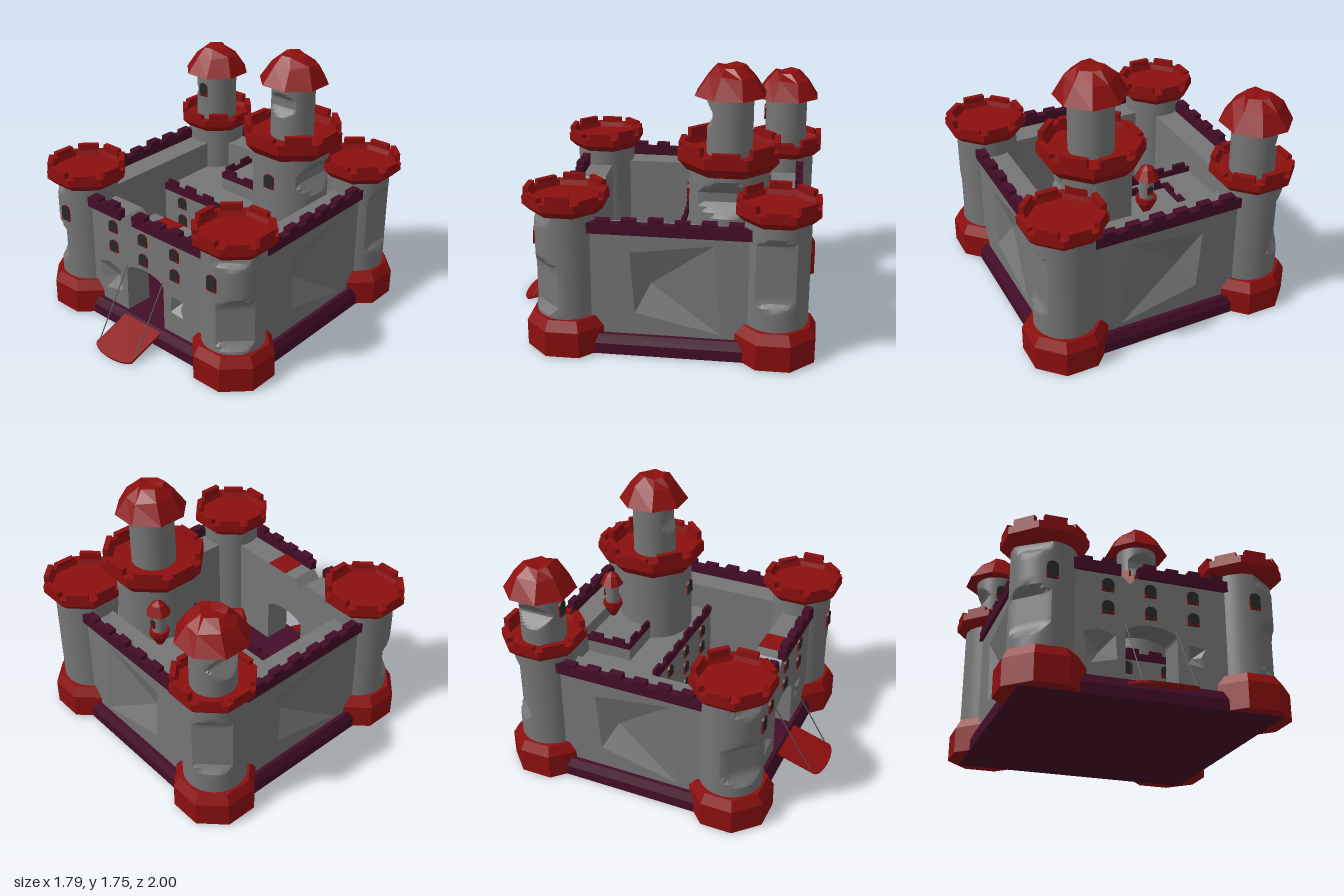
import * as THREE from 'three';
import { toCreasedNormals } from 'three/addons/utils/BufferGeometryUtils.js';

const mat = (name, color) => {
  const m = new THREE.MeshStandardMaterial({ color });
  m.name = name;
  return m;
};

export function createModel() {
  const stone = mat('stone grey', 0x757575);
  const red = mat('deep red', 0x8c0f0f);
  const plum = mat('dark plum', 0x430d27);
  const dark = mat('window dark', 0x262828);
  const iron = mat('chain iron', 0x555555);

  const castle = new THREE.Group();
  castle.name = 'castle';
  castle.position.z = -0.1;

  const add = (parent, name, geo, material, x = 0, y = 0, z = 0) => {
    const m = new THREE.Mesh(geo, material);
    m.name = name;
    m.position.set(x, y, z);
    parent.add(m);
    return m;
  };
  const group = (parent, name, x = 0, y = 0, z = 0) => {
    const g = new THREE.Group();
    g.name = name;
    g.position.set(x, y, z);
    parent.add(g);
    return g;
  };
  const hash = (a, b, c) => {
    const s = Math.sin(a * 12.9 + b * 78.2 + c * 37.7) * 43.7;
    return s - Math.floor(s);
  };
  const V = (pts) => pts.map(([x, y]) => new THREE.Vector2(x, y));

  // Faceted prism from a profile of [flat-to-centre distance, height]; wear roughens the upper rings
  const faceted = (sides, profile, wear = 0) => {
    const k = 1 / Math.cos(Math.PI / sides);
    const g = new THREE.LatheGeometry(V(profile.map(([r, y]) => [r * k, y])), sides, Math.PI / sides);
    const p = g.attributes.position;
    for (let i = 0; i < p.count; i++) {
      const x = p.getX(i), y = p.getY(i), z = p.getZ(i);
      if (wear && y > 0.05) {
        p.setXYZ(i, x + (hash(x, y, z) - 0.5) * wear, y + (hash(z, x, y) - 0.5) * wear, z + (hash(y, z, x) - 0.5) * wear);
      }
    }
    const f = g.toNonIndexed();
    f.computeVertexNormals();
    return f;
  };

  // Round shaft; each cut [azimuth, y, half height, plane distance] slices a flat chip
  const shaft = (r, y0, y1, cuts = []) => {
    const g = new THREE.CylinderGeometry(r, r, y1 - y0, 48, 28);
    g.translate(0, (y0 + y1) / 2, 0);
    const p = g.attributes.position;
    for (let i = 0; i < p.count; i++) {
      const x = p.getX(i), y = p.getY(i), z = p.getZ(i), rad = Math.hypot(x, z);
      for (const [az, cy, half, d] of cuts) {
        const c = Math.cos(Math.atan2(x, z) - az);
        if (c < 0.3 || rad < 0.01) continue;
        const limit = (d + Math.max(0, Math.abs(y - cy) - half) * 0.8) / c;
        if (limit < rad) p.setXYZ(i, (x * limit) / rad, y, (z * limit) / rad);
      }
    }
    return toCreasedNormals(g, 0.4);
  };

  // Octagonal battlement bowl with worn merlons
  const crown = (parent, r, y, h, seed) => {
    const g = group(parent, 'battlement');
    add(g, 'battlementBowl', faceted(8, [[0, y], [r * 0.82, y], [r, y + h * 0.5], [r, y + h],
      [r - 0.035, y + h], [r - 0.045, y + h * 0.65], [0, y + h * 0.65]]), red);
    for (let i = 0; i < 8; i++) {
      const a = (i * Math.PI) / 4, mh = 0.02 + 0.04 * hash(i, seed, 1);
      const m = add(g, 'merlon', new THREE.BoxGeometry(r * 0.55, mh, 0.035), red,
        Math.sin(a) * (r - 0.0176), y + h + mh / 2, Math.cos(a) * (r - 0.0176));
      m.rotation.y = a;
    }
  };
  const roof = (parent, y) => add(parent, 'towerRoof',
    faceted(8, [[0, 0], [0.212, 0], [0.145, 0.12], [0.075, 0.168], [0, 0.18]], 0.03), red, 0, y, 0);

  // Arched window: red surround edge, dark pane, red sill corners
  const arch = (w, h, depth) => {
    const s = new THREE.Shape();
    s.moveTo(-w / 2, -h / 2);
    s.lineTo(w / 2, -h / 2);
    s.lineTo(w / 2, h / 2 - w * 0.4);
    s.absellipse(0, h / 2 - w * 0.4, w / 2, w * 0.4, 0, Math.PI, false);
    return new THREE.ExtrudeGeometry(s, { depth, bevelEnabled: false, curveSegments: 8 });
  };
  const windowAt = (parent, x, y, z, w = 0.074, h = 0.085) => {
    const g = group(parent, 'window', x, y, z);
    add(g, 'windowSurround', arch(w, h, 0.03), red, 0, 0, -0.022);
    add(g, 'windowPane', arch(w, h, 0.003), dark, 0, 0, 0.0085);
    for (const s of [-1, 1]) {
      add(g, 'sillCorner', new THREE.BoxGeometry(0.016, 0.018, 0.004), red, s * (w / 2 - 0.008), 0.009 - h / 2, 0.011);
    }
  };

  // Straight plum parapet with uneven merlons, running along x
  const parapet = (parent, x0, x1, y, z, thick, h, rise) => {
    const g = group(parent, 'parapet');
    add(g, 'parapetBand', new THREE.BoxGeometry(x1 - x0, h, thick), plum, (x0 + x1) / 2, y + h / 2, z);
    const n = Math.max(1, Math.round((x1 - x0) / 0.16)), step = (x1 - x0) / n;
    for (let i = 0; i < n; i++) {
      const mh = rise * (0.7 + 0.6 * hash(i, x0, z));
      add(g, 'parapetMerlon', new THREE.BoxGeometry(step * 0.55, mh, thick), plum, x0 + (i + 0.5) * step, y + h + mh / 2, z);
    }
  };

  // Plinth and courtyard floor
  add(castle, 'plinth', faceted(4, [[0, 0], [0.81, 0], [0.81, 0.07], [0.785, 0.125], [0, 0.125]]), plum);

  // Curtain walls: pierced outer skin, solid inner skin, pyramid dents; gated wall has arch and notch
  const wall = (name, angle, dents, gated) => {
    const g = group(castle, name);
    g.rotation.y = angle;
    const skin = (z, depth, holes) => {
      const top = gated ? [[-0.09, 0.8], [-0.14, 0.745], [-0.2, 0.8]] : [];
      const s = new THREE.Shape(V([[-0.645, 0.1], [0.645, 0.1], [0.645, 0.8], ...top, [-0.645, 0.8]]));
      for (const d of holes) s.holes.push(new THREE.Path(V(d.rim)));
      if (gated) {
        const p = new THREE.Path();
        p.moveTo(-0.17, 0.11);
        p.lineTo(0.16, 0.11);
        p.lineTo(0.16, 0.42);
        p.absellipse(-0.005, 0.42, 0.165, 0.07, 0, Math.PI, false);
        p.lineTo(-0.17, 0.11);
        s.holes.push(p);
      }
      add(g, 'wallSkin', new THREE.ExtrudeGeometry(s, { depth, bevelEnabled: false }), stone, 0, 0, z);
    };
    skin(0.66, 0.1, dents);
    skin(0.57, 0.09, []);
    for (const { rim, tip } of dents) {
      const v = rim.flatMap((p, i) => [...p, 0.76, ...rim[(i + 1) % rim.length], 0.76, ...tip]);
      const geo = new THREE.BufferGeometry();
      geo.setAttribute('position', new THREE.Float32BufferAttribute(v, 3));
      geo.computeVertexNormals();
      add(g, 'wallDent', geo, stone);
    }
    const runs = gated ? [[-0.645, -0.2], [-0.09, 0.645]] : [[-0.645, 0.645]];
    for (const [a, b] of runs) parapet(g, a, b, 0.79, 0.755, 0.05, 0.07, 0.03);
    return g;
  };
  const bigDent = { rim: [[-0.21, 0.27], [0.32, 0.15], [0.27, 0.74], [-0.24, 0.67]], tip: [-0.12, 0.44, 0.68] };
  const flipped = { rim: bigDent.rim.map(([x, y]) => [-x, y]).reverse(), tip: [0.12, 0.44, 0.68] };
  wall('rightWall', Math.PI / 2, [bigDent]);
  wall('backWall', Math.PI, [flipped]);
  wall('leftWall', -Math.PI / 2, [bigDent]);
  const front = wall('frontWall', 0, [
    { rim: [[-0.38, 0.21], [-0.22, 0.25], [-0.23, 0.4], [-0.34, 0.43], [-0.43, 0.4], [-0.41, 0.27]], tip: [-0.32, 0.3, 0.69] },
    { rim: [[0.22, 0.28], [0.33, 0.27], [0.31, 0.33], [0.34, 0.39], [0.23, 0.4]], tip: [0.27, 0.34, 0.7] },
  ], true);
  for (const x of [-0.28, -0.01, 0.265]) for (const y of [0.715, 0.57]) windowAt(front, x, y, 0.76);
  add(front, 'walkwayHatch', new THREE.BoxGeometry(0.16, 0.008, 0.16), red, 0.08, 0.803, 0.65);

  // Inner hall and raised block behind the courtyard
  const hall = group(castle, 'innerHall');
  add(hall, 'hallBody', new THREE.BoxGeometry(1.14, 0.5, 0.56), stone, 0, 0.36, -0.29);
  parapet(hall, -0.57, 0.57, 0.595, -0.015, 0.02, 0.05, 0.03);
  for (const x of [-0.4, -0.14, 0.12, 0.4]) for (const y of [0.26, 0.4, 0.535]) windowAt(hall, x, y, -0.01);
  add(hall, 'raisedBlock', new THREE.BoxGeometry(0.81, 0.3, 0.32), stone, 0.165, 0.56, -0.415);
  parapet(hall, -0.245, 0.57, 0.7, -0.26, 0.015, 0.04, 0.03);
  const side = group(hall, 'sideParapet', -0.24, 0, -0.415);
  side.rotation.y = Math.PI / 2;
  parapet(side, -0.16, 0.16, 0.7, 0, 0.015, 0.04, 0.03);

  // Corner towers
  const Q = Math.PI / 4;
  const tower = (name, x, z, seed, cuts) => {
    const g = group(castle, name, x, 0, z);
    add(g, 'towerFoot', faceted(8, [[0, 0.003], [0.25, 0.003], [0.25, 0.17], [0.215, 0.235], [0, 0.235]]), red);
    add(g, 'towerShaft', shaft(0.2, 0.2, 0.94, cuts), stone);
    crown(g, 0.25, 0.905, 0.095, seed);
    return g;
  };
  const frontLeft = tower('frontLeftTower', 0.645, 0.645, 1, [[Q, 0.43, 0.13, 0.155], [Q * 0.8, 0.9, 0.03, 0.16]]);
  const frontRight = tower('frontRightTower', -0.645, 0.645, 2, [[-Q, 0.47, 0.1, 0.15], [-Q * 0.8, 0.9, 0.03, 0.16]]);
  for (const t of [frontLeft, frontRight]) windowAt(t, 0, 0.715, 0.197, 0.07, 0.11);
  tower('backLeftTower', 0.645, -0.645, 3, [[2 * Q, 0.6, 0.18, 0.16]]);
  const backRight = tower('backRightTower', -0.645, -0.645, 4, [[-3 * Q, 0.6, 0.17, 0.16]]);
  add(backRight, 'upperShaft', shaft(0.143, 0.95, 1.32, [[-2 * Q, 1.17, 0.01, 0.08]]), stone);
  windowAt(backRight, 0, 1.19, 0.14, 0.065, 0.1);
  roof(backRight, 1.31);

  // Keep with upper tower
  const keep = group(castle, 'keep', 0.31, 0, -0.32);
  add(keep, 'keepShaft', shaft(0.25, 0.3, 1.13, [[2 * Q, 0.95, 0.03, 0.18]]), stone);
  windowAt(keep, 0.015, 0.93, 0.247, 0.075, 0.1);
  crown(keep, 0.31, 1.1, 0.135, 7);
  add(keep, 'upperShaft', shaft(0.143, 1.15, 1.57, [[0, 1.43, 0.03, 0.1]]), stone);
  roof(keep, 1.56);

  // Small side turret on the keep
  const turret = group(castle, 'sideTurret', 0.03, 0, -0.515);
  add(turret, 'turretFoot', faceted(8, [[0, 0.76], [0.02, 0.76], [0.06, 0.84], [0.06, 0.875], [0, 0.875]]), red);
  add(turret, 'turretShaft', shaft(0.045, 0.86, 1.02), stone);
  add(turret, 'turretRoof', faceted(8, [[0, 1.01], [0.073, 1.01], [0.04, 1.075], [0, 1.1]]), red);
  const rear = group(turret, 'rearWindow');
  rear.rotation.y = Math.PI;
  windowAt(rear, 0, 0.94, 0.042, 0.035, 0.06);

  // Lowered drawbridge with rounded tip, and its chains
  const deck = new THREE.Shape();
  deck.moveTo(-0.165, 0);
  deck.lineTo(0.165, 0);
  deck.lineTo(0.165, 0.32);
  deck.absellipse(0, 0.32, 0.165, 0.055, 0, Math.PI, false);
  const bridge = add(castle, 'drawbridge', new THREE.ExtrudeGeometry(deck, { depth: 0.014, bevelEnabled: false }),
    red, -0.005, 0.122, 0.745);
  bridge.rotation.x = Math.PI / 2 + Math.atan2(0.115, 0.36);
  for (const x of [-0.166, 0.156]) {
    const path = new THREE.LineCurve3(new THREE.Vector3(x, 0.04, 1.02), new THREE.Vector3(x, 0.475, 0.755));
    add(castle, 'bridgeChain', new THREE.TubeGeometry(path, 1, 0.004, 6), iron);
  }

  const model = new THREE.Group();
  model.name = 'castleModel';
  model.add(castle);
  return model;
}
